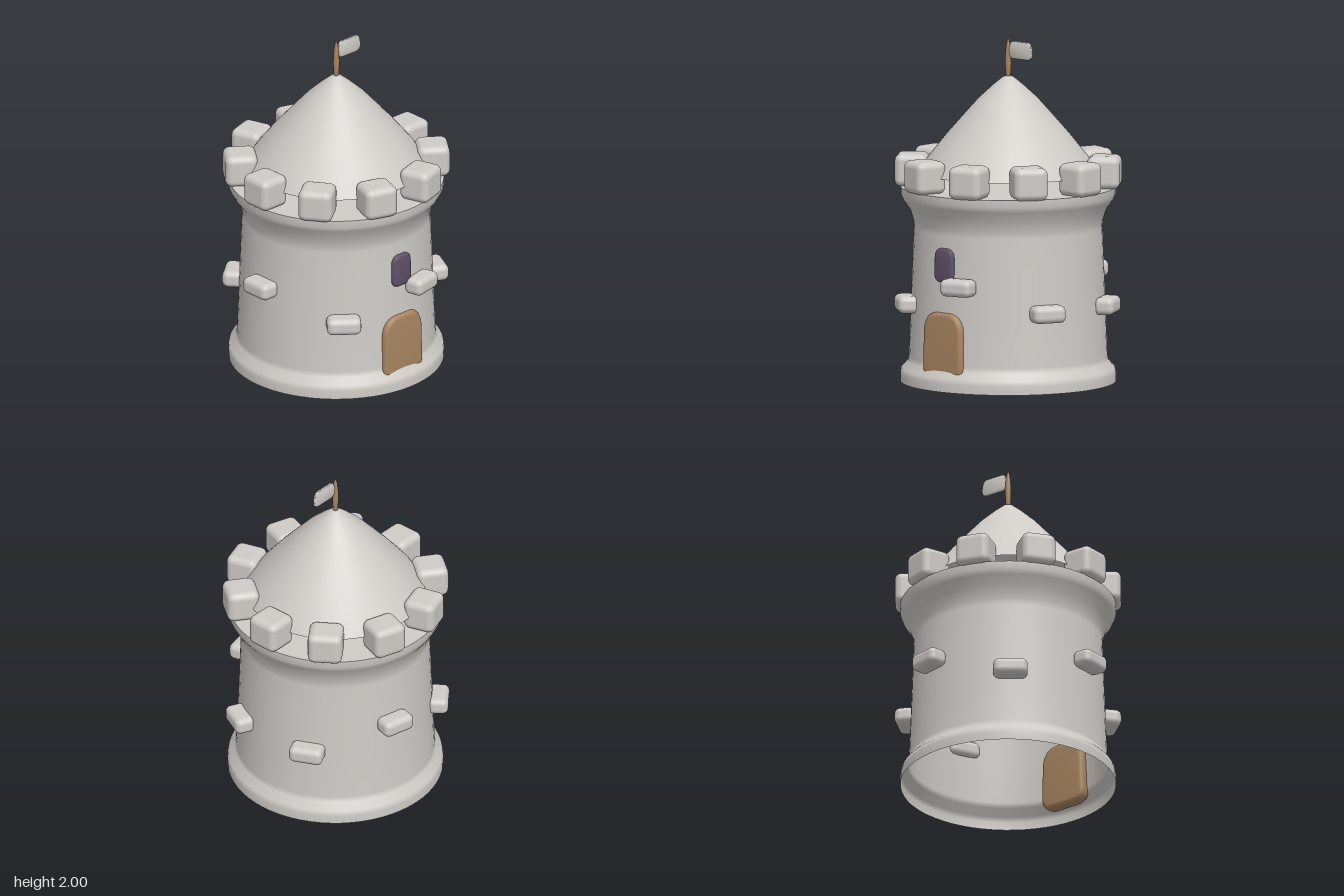
import * as THREE from 'three';
import { toCreasedNormals } from 'three/addons/utils/BufferGeometryUtils.js';
import { RoundedBoxGeometry } from 'three/addons/geometries/RoundedBoxGeometry.js';

export function createModel() {
  const model = new THREE.Group();
  model.name = 'tower';

  const paint = (name, color, side = THREE.FrontSide) => {
    const m = new THREE.MeshStandardMaterial({ color, side });
    m.name = name;
    return m;
  };
  const stone = paint('stone', 0xcfcbc7, THREE.DoubleSide);
  const wood = paint('wood', 0xa98561);
  const glass = paint('dark window', 0x5f5068);

  const add = (name, geometry, material, x = 0, y = 0, z = 0) => {
    const mesh = new THREE.Mesh(geometry, material);
    mesh.name = name;
    mesh.position.set(x, y, z);
    model.add(mesh);
    return mesh;
  };
  const lathe = (points, sides) =>
    new THREE.LatheGeometry(points.map(([r, y]) => new THREE.Vector2(r, y)), sides);

  // Upright slab with rounded corners and softened edges, centred on its origin
  const slab = (w, h, d, rTop, rBottom, bevel) => {
    const x = w / 2 - bevel, y = h / 2 - bevel;
    const s = new THREE.Shape();
    s.moveTo(-x + rBottom, -y);
    s.lineTo(x - rBottom, -y);
    s.quadraticCurveTo(x, -y, x, -y + rBottom);
    s.lineTo(x * 0.96, y - rTop);
    s.quadraticCurveTo(x * 0.9, y, x - rTop, y);
    s.lineTo(-x + rTop, y);
    s.quadraticCurveTo(-x * 0.9, y, -x * 0.96, y - rTop);
    s.lineTo(-x, -y + rBottom);
    s.quadraticCurveTo(-x, -y, -x + rBottom, -y);
    const g = new THREE.ExtrudeGeometry(s, {
      depth: d - 2 * bevel, bevelSize: bevel, bevelThickness: bevel, bevelSegments: 4, curveSegments: 8,
    });
    g.translate(0, 0, -d / 2 + bevel);
    return toCreasedNormals(g, 0.8);
  };

  // Hollow wall, open underneath, with a flared foot and crown
  add('wall', lathe([
    [0.625, 0], [0.626, 0.05], [0.62, 0.08], [0.582, 0.12], [0.576, 0.15], [0.566, 0.4],
    [0.555, 0.7], [0.547, 0.9], [0.549, 0.94], [0.572, 1.01], [0.61, 1.065], [0.624, 1.095], [0.625, 1.14],
  ], 64), stone);
  const deck = add('deck', new THREE.CircleGeometry(0.625, 64), stone, 0, 1.14, 0);
  deck.rotation.x = -Math.PI / 2;

  // Roof raised a little above the deck
  add('roof', lathe([
    [0.52, 1.225], [0.46, 1.315], [0.36, 1.44], [0.255, 1.56], [0.17, 1.655],
    [0.085, 1.733], [0.03, 1.778], [0, 1.787],
  ], 64), stone);

  // Ring of ten battlements
  const battlement = new RoundedBoxGeometry(0.19, 0.19, 0.2, 4, 0.04);
  for (let i = 0; i < 10; i++) {
    const a = (i / 10) * Math.PI * 2;
    add('battlement', battlement, stone, 0.56 * Math.cos(a), 1.23, 0.56 * Math.sin(a)).rotation.y = -a;
  }

  // Seven protruding bricks at alternating heights
  const brick = new RoundedBoxGeometry(0.12, 0.1, 0.2, 4, 0.035);
  for (let i = 0; i < 7; i++) {
    const a = ((i + 0.5) / 7) * Math.PI * 2;
    add('brick', brick, stone, 0.598 * Math.cos(a), i % 2 ? 0.615 : 0.465, 0.598 * Math.sin(a)).rotation.y = -a;
  }

  // Door and window set through the wall
  add('door', slab(0.3, 0.395, 0.08, 0.085, 0.05, 0.025), wood, 0, 0.258, 0.545);
  add('window', slab(0.146, 0.2, 0.06, 0.035, 0.03, 0.018), glass, 0, 0.73, 0.54);

  // Flagpole and flag
  add('flagpole', lathe([
    [0, 1.76], [0.014, 1.78], [0.018, 1.85], [0.017, 1.91], [0.011, 1.97], [0.005, 1.993], [0, 2],
  ], 16), wood);
  add('flag', slab(0.18, 0.105, 0.014, 0.035, 0.035, 0.006), stone, 0.098, 1.938, 0);

  return model;
}
